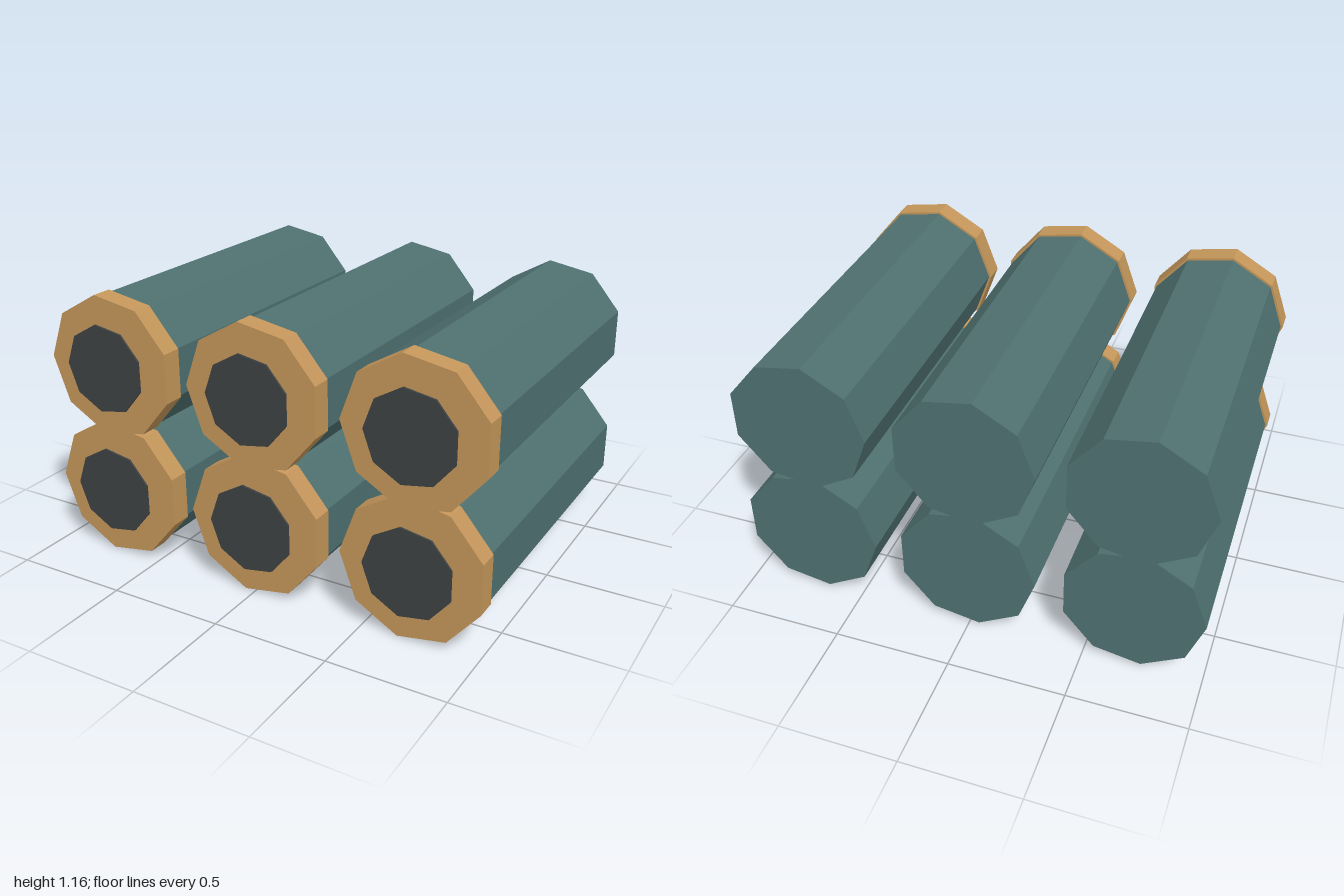
import * as THREE from 'three';

const SIDES = 9;

// Nine-sided prism lying along z, with one corner pointing to -x
function prism(radius, back, front) {
  const g = new THREE.CylinderGeometry(radius, radius, front - back, SIDES, 1, false, -Math.PI / 2);
  g.rotateX(Math.PI / 2);
  g.translate(0, 0, (front + back) / 2);
  return g;
}

export function createModel() {
  const group = new THREE.Group();
  group.name = 'tubeRack';

  const mat = (name, color) => {
    const m = new THREE.MeshStandardMaterial({ color, flatShading: true });
    m.name = name;
    return m;
  };

  const parts = [
    ['tubeBody', prism(0.298, -0.755, 0.63), mat('teal', 0x4f7070)],
    ['frontCollar', prism(0.308, 0.627, 0.719), mat('tan', 0xc4965a)],
    // Dark muzzle plate standing just ahead of the collar
    ['muzzlePlate', prism(0.192, 0.745, 0.754), mat('charcoal', 0x3c4143)],
  ];

  // Two rows of three tubes
  for (const y of [0.308, 0.86]) {
    for (const x of [-0.692, 0.008, 0.708]) {
      const tube = new THREE.Group();
      tube.name = 'tube';
      tube.position.set(x, y, 0);
      for (const [name, geometry, material] of parts) {
        const mesh = new THREE.Mesh(geometry, material);
        mesh.name = name;
        tube.add(mesh);
      }
      group.add(tube);
    }
  }
  return group;
}
